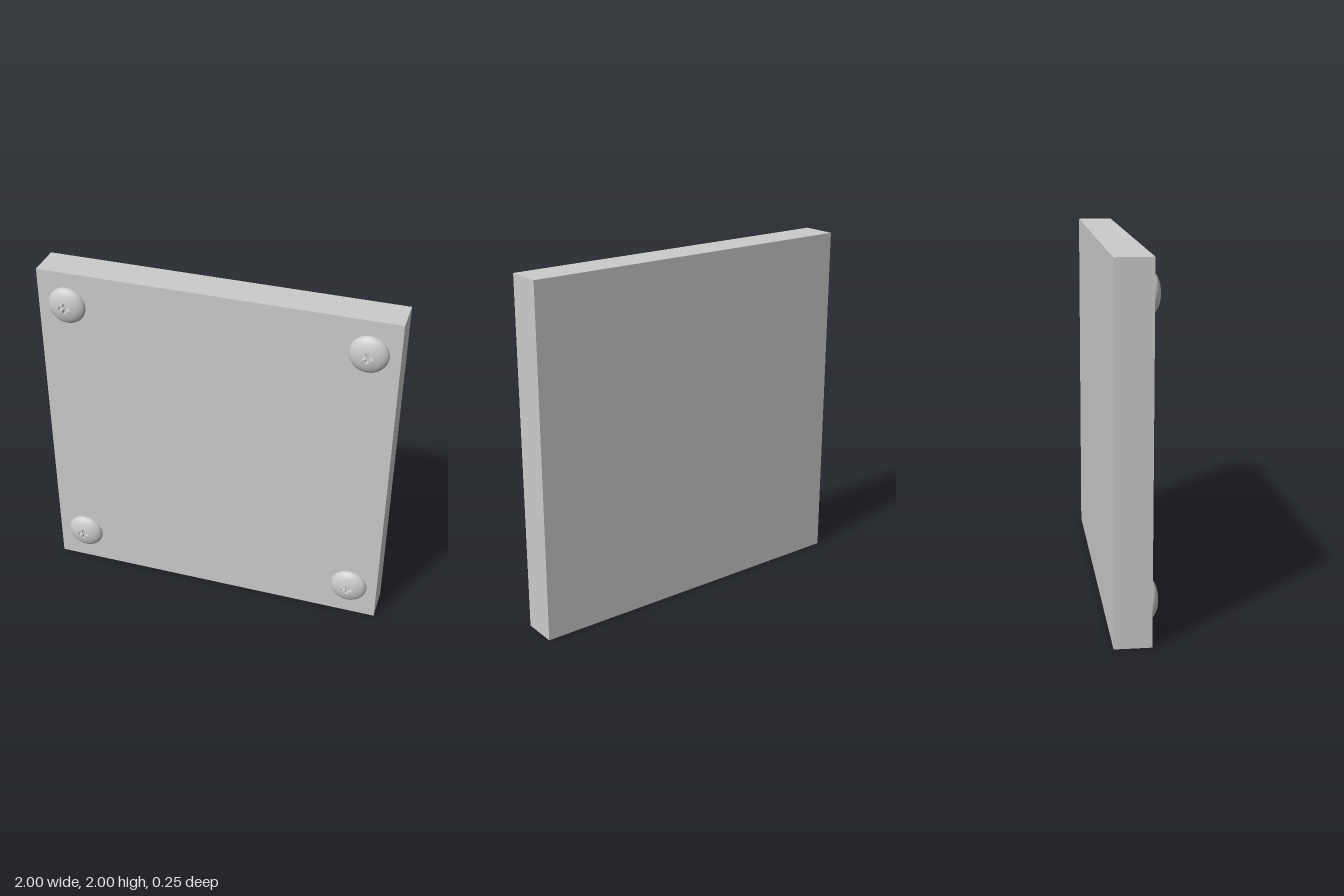
import * as THREE from 'three';

const FACE_Z = 0.075;   // front face of the panel
const R = 0.107, H = 0.05; // screw head radius and height
const CAP_R = 0.038;    // central part of the head around the cross recess
const ARM = 0.03, HALF = 0.009, FLOOR = 0.022;
const SEGMENTS = 48;

// Height of the domed head at a distance r from its axis
const dome = (r) => H * Math.sqrt(Math.max(0, 1 - (r / R) ** 2));

// Outline of the cross recess, counter-clockwise
function crossPoints() {
  const arm = [[ARM, -HALF], [ARM, HALF], [HALF, HALF]];
  const points = [];
  for (let i = 0; i < 4; i++) {
    const origin = new THREE.Vector2();
    for (const [x, y] of arm) {
      points.push(new THREE.Vector2(x, y).rotateAround(origin, i * Math.PI / 2));
    }
  }
  return points;
}

// Outer dome, from the panel face up to the central cap
function domeGeometry() {
  const start = Math.acos(CAP_R / R), profile = [];
  for (let i = 0; i <= 14; i++) {
    const a = start * i / 14;
    profile.push(new THREE.Vector2(R * Math.cos(a), H * Math.sin(a)));
  }
  return new THREE.LatheGeometry(profile, SEGMENTS).rotateX(Math.PI / 2);
}

// Central cap with a cross-shaped hole, lifted onto the dome
function capGeometry(cross) {
  const shape = new THREE.Shape().absarc(0, 0, CAP_R, 0, Math.PI * 2);
  shape.holes.push(new THREE.Path(cross));
  const geometry = new THREE.ShapeGeometry(shape, SEGMENTS);
  const { position, normal } = geometry.attributes;
  const n = new THREE.Vector3();
  for (let i = 0; i < position.count; i++) {
    const x = position.getX(i), y = position.getY(i), z = dome(Math.hypot(x, y));
    position.setZ(i, z);
    n.set(x / (R * R), y / (R * R), z / (H * H)).normalize();
    normal.setXYZ(i, n.x, n.y, n.z);
  }
  return geometry;
}

// Inward-facing walls of the recess
function wallGeometry(cross) {
  const positions = [];
  cross.forEach((a, i) => {
    const b = cross[(i + 1) % cross.length];
    const a0 = [a.x, a.y, FLOOR], a1 = [a.x, a.y, dome(a.length())];
    const b0 = [b.x, b.y, FLOOR], b1 = [b.x, b.y, dome(b.length())];
    positions.push(...a0, ...b1, ...b0, ...a0, ...a1, ...b1);
  });
  const geometry = new THREE.BufferGeometry();
  geometry.setAttribute('position', new THREE.Float32BufferAttribute(positions, 3));
  geometry.computeVertexNormals();
  return geometry;
}

export function createModel() {
  const model = new THREE.Group();
  model.name = 'screwedPanel';
  const material = new THREE.MeshStandardMaterial({ color: 0xcccccc });

  const add = (parent, name, geometry) => {
    const mesh = new THREE.Mesh(geometry, material);
    mesh.name = name;
    parent.add(mesh);
    return mesh;
  };

  // Square panel
  add(model, 'panel', new THREE.BoxGeometry(2, 2, 0.2)).position.set(0, 1, FACE_Z - 0.1);

  // One screw head, repeated at the four corners
  const cross = crossPoints();
  const screw = new THREE.Group();
  add(screw, 'screwDome', domeGeometry());
  add(screw, 'screwCap', capGeometry(cross));
  add(screw, 'recessWalls', wallGeometry(cross));
  add(screw, 'recessFloor', new THREE.ShapeGeometry(new THREE.Shape(cross)).translate(0, 0, FLOOR));

  for (const [side, x] of [['Left', 0.833], ['Right', -0.833]]) {
    for (const [level, y] of [['upper', 1.805], ['lower', 0.203]]) {
      const copy = screw.clone();
      copy.name = `${level}${side}Screw`;
      copy.position.set(x, y, FACE_Z);
      model.add(copy);
    }
  }
  return model;
}
